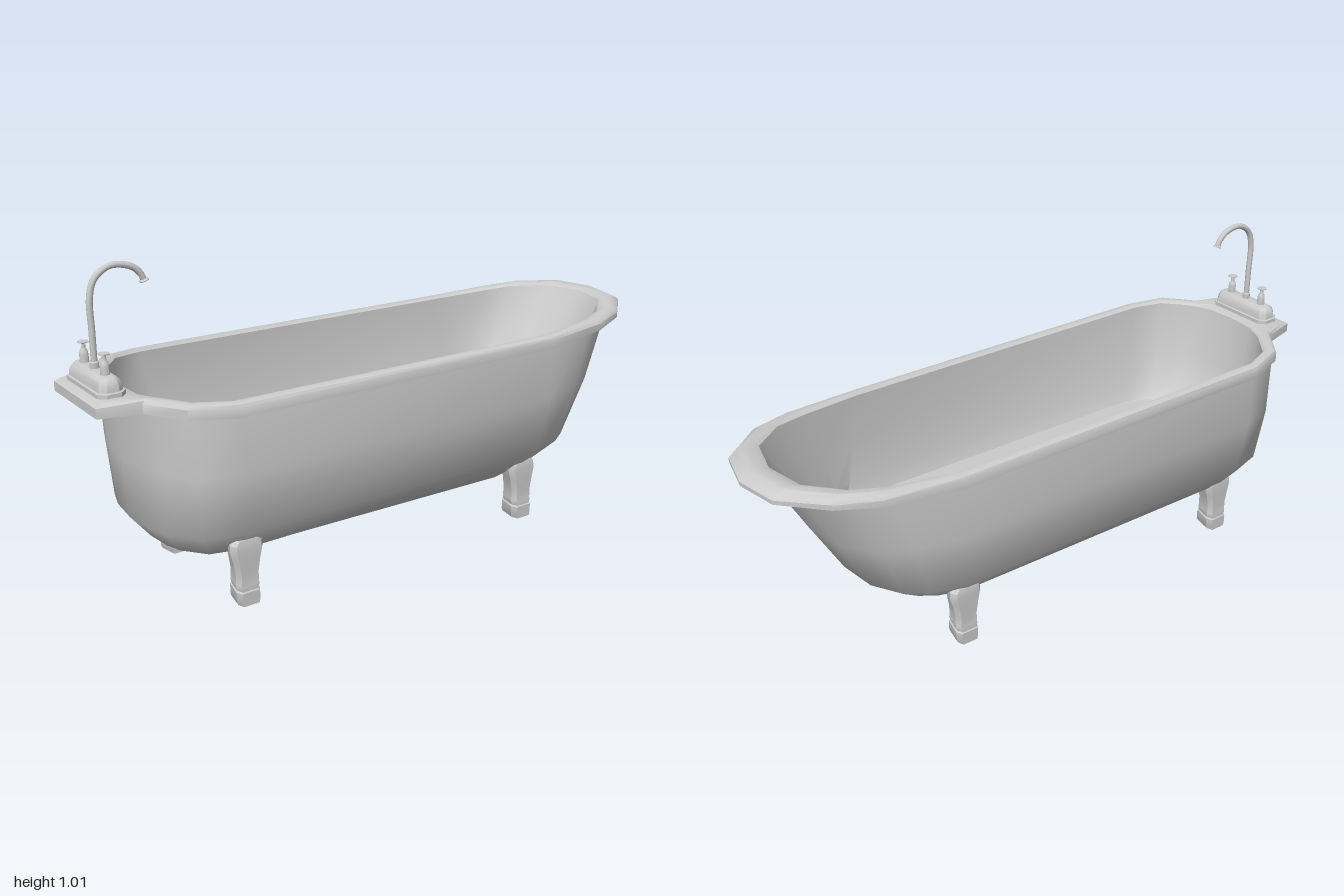
import * as THREE from 'three';
import { toCreasedNormals } from 'three/addons/utils/BufferGeometryUtils.js';

const material = new THREE.MeshStandardMaterial({ color: 0xcccccc, side: THREE.DoubleSide });

function part(name, geometry, parent) {
  const mesh = new THREE.Mesh(geometry, material);
  mesh.name = name;
  parent.add(mesh);
  return mesh;
}

// Skin a stack of closed rings ([x, y, z] corners), with optional caps
function loft(rings, crease, capStart, capEnd) {
  const n = rings[0].length;
  const positions = rings.flat(2);
  const index = [];
  for (let i = 0; i < rings.length - 1; i++) {
    for (let j = 0; j < n; j++) {
      const a = i * n + j, b = i * n + (j + 1) % n;
      index.push(a, a + n, b, b, a + n, b + n);
    }
  }
  const cap = (ring, flip) => {
    const start = ring * n, centre = positions.length / 3;
    const mid = [0, 1, 2].map(k => rings[ring].reduce((s, p) => s + p[k], 0) / n);
    positions.push(...mid);
    for (let j = 0; j < n; j++) {
      const a = start + j, b = start + (j + 1) % n;
      index.push(centre, flip ? b : a, flip ? a : b);
    }
  };
  if (capStart) cap(0, false);
  if (capEnd) cap(rings.length - 1, true);
  const geometry = new THREE.BufferGeometry();
  geometry.setAttribute('position', new THREE.Float32BufferAttribute(positions, 3));
  geometry.setIndex(index);
  return toCreasedNormals(geometry, crease);
}

// The rim sweeps up toward the back and slightly toward the tap deck
function lift(z, rise) {
  return rise * THREE.MathUtils.smoothstep(-z, 0.5, 1) + 0.018 * THREE.MathUtils.smoothstep(z, 0.5, 0.95);
}

// Half outline [x, z] from back centre to front centre, mirrored to a full ring
function mirrorRing(half, height) {
  const other = half.slice(1, -1).reverse().map(([x, z]) => [-x, z]);
  return [...half, ...other].map(([x, z]) => [x, height(z), z]);
}

const BACK = [[0, 1], [0.43, 0.93], [0.75, 0.7], [0.89, 0.44], [1, 0]];
const FRONT = [[1, 0], [0.88, 0.55], [0.58, 0.86], [0.36, 0.95], [0, 1]];

// Tub section: half width, back end, start and end of the straight sides, front end, slope along z
function tubRing([y, w, back, sideBack, sideFront, front, slope = 0]) {
  return mirrorRing([
    ...BACK.map(([u, v]) => [u * w, sideBack + v * (back - sideBack)]),
    ...FRONT.map(([u, v]) => [u * w, sideFront + v * (front - sideFront)]),
  ], z => y + slope * z + (y > 0.6 ? lift(z, 0.03) : 0));
}

const RIM_OUTER = [[0, -1], [0.14, -0.97], [0.25, -0.85], [0.3, -0.72], [0.328, -0.48],
  [0.328, 0.67], [0.285, 0.8], [0.178, 0.88], [0.147, 1], [0, 1]];
const RIM_INNER = [[0, -0.91], [0.13, -0.88], [0.22, -0.78], [0.255, -0.68], [0.29, -0.48],
  [0.29, 0.67], [0.255, 0.765], [0.17, 0.83], [0.1, 0.86], [0, 0.868]];

// Rim section: 0 outer to 1 inner outline, height, rise at the back
function rimRing([t, y, rise]) {
  const mix = RIM_OUTER.map(([x, z], i) => [
    x + t * (RIM_INNER[i][0] - x), z + t * (RIM_INNER[i][1] - z)]);
  return mirrorRing(mix, z => y + lift(z, rise));
}

// Rectangle with cut corners
function chamferRing(y, hx, hz, cut) {
  const a = hx - cut, b = hz - cut;
  return [[hx, -b], [hx, b], [a, hz], [-a, hz], [-hx, b], [-hx, -b], [-a, -hz], [a, -hz]]
    .map(([x, z]) => [x, y, z]);
}

// Wedge that narrows from the outer face (+x) to the inner face
function wedgeRing(y, hx, hz) {
  return [[hx, -0.75 * hz], [hx, 0.75 * hz], [0.5 * hx, hz], [-hx, 0.65 * hz], [-hx, -0.65 * hz], [0.5 * hx, -hz]]
    .map(([x, z]) => [x, y, z]);
}

function lathe(points, sides) {
  const geometry = new THREE.LatheGeometry(points.map(([r, y]) => new THREE.Vector2(r, y)), sides);
  return toCreasedNormals(geometry, 0.7);
}

function buildTub(parent) {
  const tub = new THREE.Group();
  tub.name = 'tub';
  parent.add(tub);

  part('outerShell', loft([
    [0.127, 0.16, -0.52, -0.4, 0.58, 0.66, 0.012],
    [0.18, 0.24, -0.62, -0.43, 0.62, 0.8, -0.008],
    [0.25, 0.3, -0.71, -0.46, 0.64, 0.862],
    [0.44, 0.328, -0.815, -0.48, 0.65, 0.875],
    [0.622, 0.318, -0.925, -0.5, 0.66, 0.89],
  ].map(tubRing), 0.9, true, false), tub);

  part('rim', loft([
    [1, 0.606, 0.03], [0, 0.606, 0.038], [0, 0.635, 0.022], [0.12, 0.643, 0.024],
    [0.4, 0.648, 0.032], [0.8, 0.647, 0.034], [1, 0.64, 0.034],
  ].map(rimRing), 0.6, false, false), tub);

  // Inside, down to a flat floor
  part('basin', loft([
    rimRing([1, 0.64, 0.034]),
    tubRing([0.48, 0.282, -0.79, -0.51, 0.64, 0.84]),
    tubRing([0.36, 0.258, -0.69, -0.54, 0.62, 0.8]),
    tubRing([0.303, 0.243, -0.615, -0.57, 0.6, 0.745]),
    tubRing([0.303, 0.233, -0.58, -0.55, 0.58, 0.7]),
  ], 0.9, false, true), tub);
}

function buildLegs(parent) {
  // y, half width, half depth: square toe, slim ankle, swelling knee
  const sections = [
    [0, 0.041, 0.033], [0.01, 0.041, 0.038], [0.042, 0.041, 0.038], [0.046, 0.038, 0.034],
    [0.06, 0.038, 0.038], [0.065, 0.037, 0.037], [0.1, 0.037, 0.037], [0.14, 0.038, 0.045],
    [0.172, 0.038, 0.054], [0.192, 0.037, 0.052], [0.205, 0.034, 0.038],
  ];
  const places = [
    ['frontRightLeg', -0.213, 0, 0.625], ['frontLeftLeg', 0.246, 0.018, 0.628],
    ['backRightLeg', -0.239, 0.018, -0.445], ['backLeftLeg', 0.219, 0, -0.445],
  ];
  const shape = loft(sections.map(s => wedgeRing(...s)), 0.5, true, true);
  for (const [name, x, y, z] of places) {
    const leg = part(name, shape, parent);
    leg.position.set(x, y, z);
    leg.rotation.y = x < 0 ? Math.PI : 0;
  }
}

function buildTap(parent) {
  const tap = new THREE.Group();
  tap.name = 'tap';
  tap.position.set(0, 0.665, 0.935);
  parent.add(tap);

  // Stepped base plate with a rounded top
  part('tapBase', loft([
    [0, 0.126, 0.042], [0.012, 0.126, 0.042], [0.014, 0.12, 0.036], [0.03, 0.118, 0.034],
    [0.042, 0.113, 0.029], [0.05, 0.106, 0.022], [0.053, 0.096, 0.014],
  ].map(([y, hx, hz]) => chamferRing(y, hx, hz, hz * 0.5)), 0.6, true, true), tap);

  // Curved spout with collar and flared mouth
  const path = new THREE.CatmullRomCurve3([
    [0.05, 0], [0.16, 0], [0.25, 0], [0.3, -0.016], [0.329, -0.055], [0.332, -0.09],
    [0.318, -0.133], [0.295, -0.155], [0.283, -0.16],
  ].map(([y, z]) => new THREE.Vector3(0, y, z)));
  part('spout', new THREE.TubeGeometry(path, 40, 0.0095, 10), tap);
  part('spoutCollar', lathe([[0.013, 0.05], [0.013, 0.07], [0.009, 0.073]], 12), tap);
  const mouth = part('spoutMouth', lathe([[0, -0.005], [0.014, -0.005], [0.014, -0.002], [0.009, 0.002]], 12), tap);
  mouth.position.set(0, 0.281, -0.161);
  mouth.rotation.x = 0.35;

  // Pair of valve handles
  const profile = [[0.013, 0.05], [0.013, 0.075], [0.011, 0.086], [0.006, 0.093],
    [0.006, 0.106], [0.016, 0.11], [0.016, 0.113], [0, 0.114]];
  for (const side of [-1, 1]) {
    const name = side < 0 ? 'rightHandle' : 'leftHandle';
    part(name, lathe(profile, 12), tap).position.x = side * 0.071;
  }
}

export function createModel() {
  const model = new THREE.Group();
  model.name = 'bathtub';
  buildTub(model);
  buildLegs(model);
  buildTap(model);
  return model;
}
